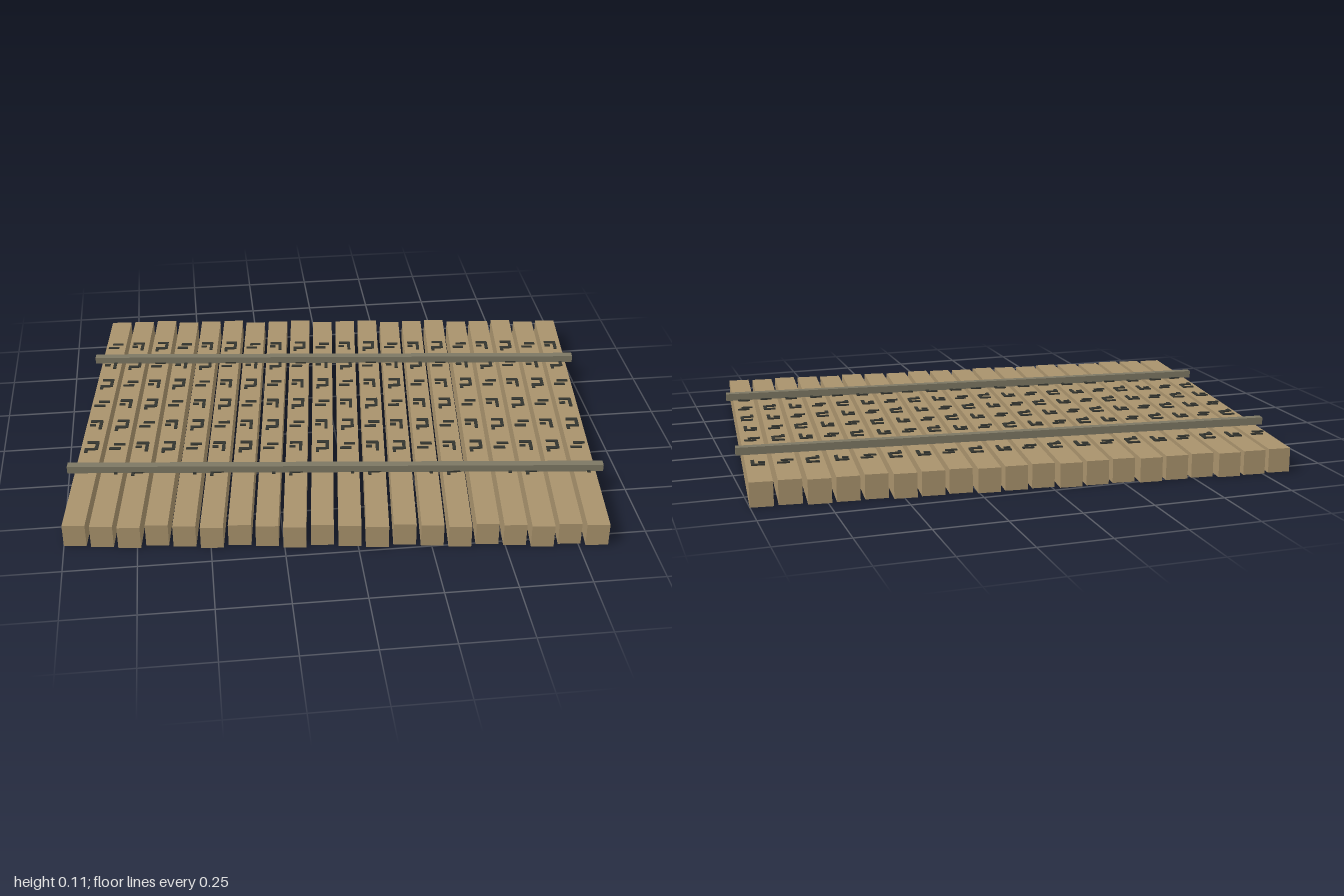
import * as THREE from 'three';

const wood = new THREE.MeshStandardMaterial({ name: 'wood', color: 0xa8926c });
const batten = new THREE.MeshStandardMaterial({ name: 'weathered batten', color: 0x7d7763 });
const dark = new THREE.MeshStandardMaterial({ name: 'dark marks', color: 0x33352f });

const PLANKS = 20, PITCH = 0.0939, WIDTH = 0.078, HEIGHT = 0.085;
const HALF_LENGTHS = [0.7105, 0.717, 0.7245];

// Three abstract stroke patterns, each stroke as [x, z, width, depth]
const STROKES = [
  [[0.006, -0.014, 0.042, 0.011], [-0.008, 0.014, 0.042, 0.011]],
  [[-0.004, -0.022, 0.044, 0.012], [0.014, 0.002, 0.012, 0.056], [-0.016, 0.004, 0.022, 0.011]],
  [[0.002, -0.026, 0.044, 0.012], [0.018, -0.004, 0.012, 0.05],
    [-0.004, 0.018, 0.04, 0.012], [-0.018, 0.028, 0.012, 0.024]],
];

function box(parent, name, material, size, pos) {
  const mesh = new THREE.Mesh(new THREE.BoxGeometry(...size), material);
  mesh.name = name;
  mesh.position.set(...pos);
  parent.add(mesh);
  return mesh;
}

export function createModel() {
  const model = new THREE.Group();
  model.name = 'plankDeck';
  // The deck lies slightly askew
  const deck = new THREE.Group();
  deck.name = 'deck';
  deck.rotation.y = -0.1047;
  model.add(deck);

  for (let i = 0; i < PLANKS; i++) {
    const x = (i - (PLANKS - 1) / 2) * PITCH;
    // Planks of three repeating lengths
    box(deck, 'plank', wood, [WIDTH, HEIGHT, 2 * HALF_LENGTHS[i % 3]], [x, HEIGHT / 2, 0]);

    // Seven rows of thin dark marks on each plank
    for (let row = 0; row < 7; row++) {
      const mark = new THREE.Group();
      mark.name = 'surfaceMark';
      mark.position.set(x, HEIGHT + 0.002, -0.507 + row * 0.1475);
      for (const [sx, sz, w, d] of STROKES[(i + row) % 3]) {
        box(mark, 'stroke', dark, [w, 0.005, d], [sx, 0, sz]);
      }
      deck.add(mark);
    }
  }

  // Two battens tie the planks together
  for (const side of [-1, 1]) {
    box(deck, 'crossBatten', batten, [1.915, 0.027, 0.028], [0, 0.0985, side * 0.385]);
  }
  return model;
}
